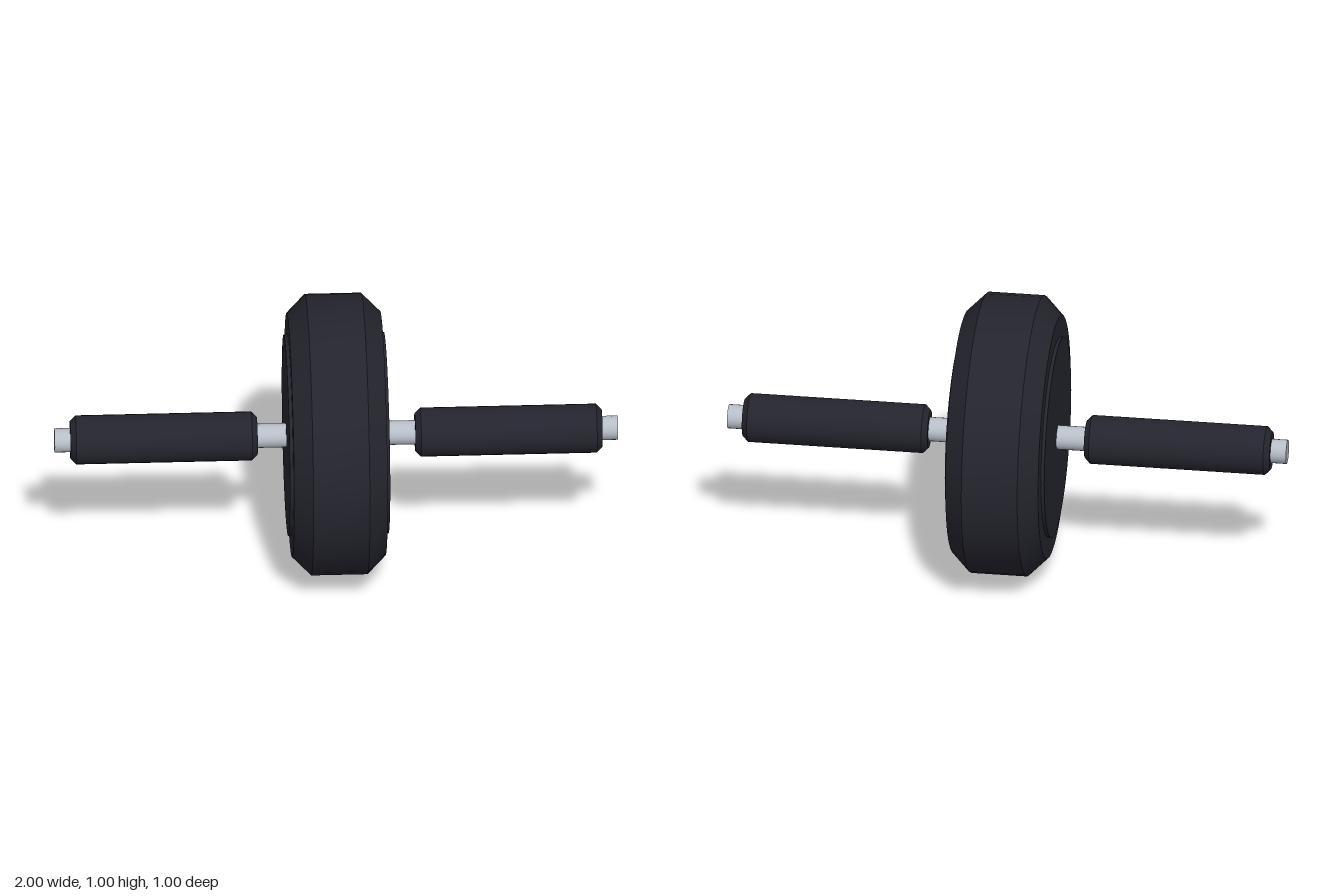
import * as THREE from 'three';
import { toCreasedNormals } from 'three/addons/utils/BufferGeometryUtils.js';

// Solid of revolution about the x axis; profile is [x, radius] pairs, x ascending
function turned(name, profile, segments, material) {
  const points = profile.map(([x, r]) => new THREE.Vector2(r, x));
  const geometry = new THREE.LatheGeometry(points, segments).rotateZ(-Math.PI / 2);
  const mesh = new THREE.Mesh(toCreasedNormals(geometry, 0.5), material);
  mesh.name = name;
  return mesh;
}

export function createModel() {
  const rubber = new THREE.MeshStandardMaterial({ color: 0x24242e });
  rubber.name = 'dark rubber';
  const steel = new THREE.MeshStandardMaterial({ color: 0xb8bec8 });
  steel.name = 'brushed steel';

  const model = new THREE.Group();
  model.name = 'abWheel';

  // Wheel with bevelled rims
  model.add(turned('wheel', [
    [-0.166, 0], [-0.166, 0.434], [-0.1, 0.5],
    [0.1, 0.5], [0.166, 0.434], [0.166, 0],
  ], 40, rubber));

  // Axle running through the wheel and both grips
  model.add(turned('axle', [[-1, 0], [-1, 0.043], [1, 0.043], [1, 0]], 24, steel));

  for (const [side, s] of [['left', 1], ['right', -1]]) {
    // Raised disc on each wheel face
    const disc = turned(side + 'HubDisc', [
      [-0.012, 0], [-0.012, 0.358], [0.012, 0.358], [0.012, 0],
    ], 40, rubber);
    disc.position.x = s * 0.166;

    // Grip with bevelled ends
    const grip = turned(side + 'Grip', [
      [-0.332, 0], [-0.332, 0.067], [-0.312, 0.087],
      [0.312, 0.087], [0.332, 0.067], [0.332, 0],
    ], 32, rubber);
    grip.position.x = s * 0.612;
    model.add(disc, grip);
  }

  // Lift so the wheel rests on the ground
  for (const part of model.children) part.position.y = 0.5;
  return model;
}
